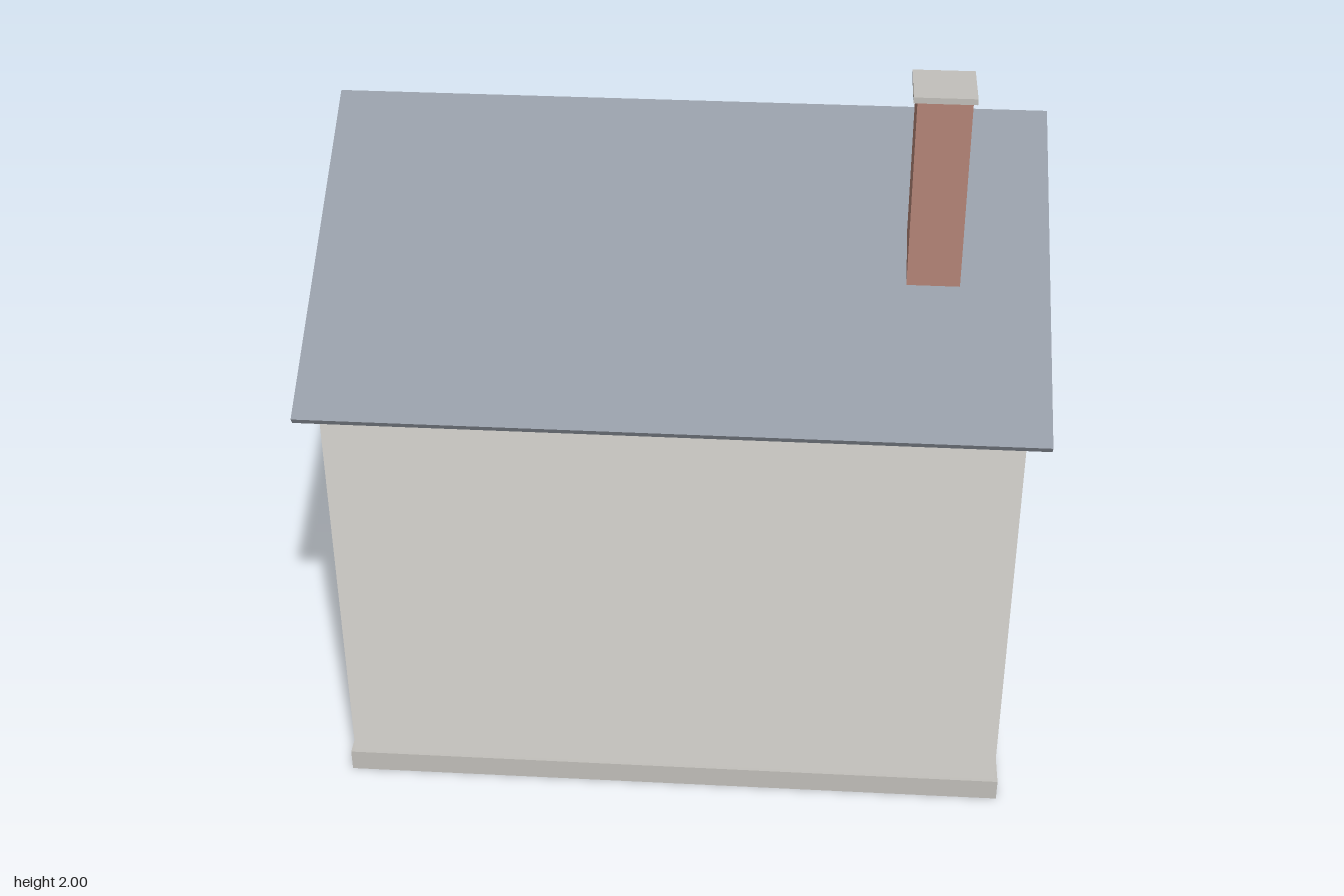
import * as THREE from 'three';

const mat = (color) => new THREE.MeshStandardMaterial({ color });
const M = {
  wall: mat(0xdad8d3), stone: mat(0xc2c0bb), roof: mat(0x949ba5), brick: mat(0xb58578),
  glass: mat(0x9fb8c5), frame: mat(0xc4c4c0), shutter: mat(0x61788f), door: mat(0x5f917b), knob: mat(0x55534e),
};
const MID = 0.035;   // z of the ridge line
const FACE = -0.765; // z of the wall with the door

export function createModel() {
  const house = new THREE.Group();
  house.name = 'house';

  // box from its min and max corners
  function box(name, material, [x0, y0, z0], [x1, y1, z1], parent = house) {
    const mesh = new THREE.Mesh(new THREE.BoxGeometry(x1 - x0, y1 - y0, z1 - z0), material);
    mesh.position.set((x0 + x1) / 2, (y0 + y1) / 2, (z0 + z1) / 2);
    mesh.name = name;
    parent.add(mesh);
    return mesh;
  }

  // gable profile swept along x
  function sweep(name, material, points, halfLength) {
    const shape = new THREE.Shape(points.map(([x, y]) => new THREE.Vector2(x, y)));
    const geo = new THREE.ExtrudeGeometry(shape, { depth: halfLength * 2, bevelEnabled: false });
    geo.translate(0, 0, -halfLength).rotateY(Math.PI / 2);
    const mesh = new THREE.Mesh(geo, material);
    mesh.position.z = MID;
    mesh.name = name;
    house.add(mesh);
  }

  // slab fixed to the door wall, centred on (x, y), standing out by depth
  const onFace = (name, material, x, y, w, h, depth, parent) =>
    box(name, material, [x - w / 2, y - h / 2, FACE - depth], [x + w / 2, y + h / 2, FACE + 0.005], parent);

  // base, walls and roof
  box('foundation', M.stone, [-0.91, 0, -0.775], [0.91, 0.063, 0.845]);
  box('doorStep', M.stone, [-0.158, 0, -0.885], [0.158, 0.063, -0.77]);
  sweep('walls', M.wall, [[-0.8, 0.06], [0.8, 0.06], [0.8, 1.223], [0, 1.705], [-0.8, 1.223]], 0.9);
  sweep('roof', M.roof,
    [[0.85, 1.228], [0, 1.74], [-0.85, 1.228], [-0.839, 1.21], [0, 1.715], [0.839, 1.21]], 0.96);

  // chimney
  box('chimney', M.brick, [0.59, 1.38, 0.362], [0.728, 1.986, 0.502]);
  box('chimneyCap', M.stone, [0.58, 1.984, 0.352], [0.738, 2, 0.512]);

  // window with frame and 2 x 2 panes
  function paneWindow(name, x, y, w, h) {
    const group = new THREE.Group();
    group.name = name;
    house.add(group);
    const t = 0.012;
    onFace('glass', M.glass, x, y, w, h, 0.005, group);
    for (const s of [-1, 0, 1]) {
      onFace('verticalBar', M.frame, x + s * (w - t) / 2, y, t, h, 0.011, group);
      onFace('horizontalBar', M.frame, x, y + s * (h - t) / 2, w, t, 0.01, group);
    }
    return group;
  }

  for (const y of [0.385, 0.965]) {
    for (const side of [-1, 1]) {
      const x = side * 0.6;
      const group = paneWindow('shutteredWindow', x, y, 0.23, 0.26);
      for (const s of [-1, 1]) {
        onFace('shutter', M.shutter, x + s * 0.15, y, 0.073, 0.26, 0.014, group);
        onFace('shutterPanel', M.shutter, x + s * 0.15, y, 0.053, 0.235, 0.019, group);
      }
    }
  }
  paneWindow('landingWindow', 0, 0.965, 0.19, 0.21);

  // door with its frame and knob
  onFace('door', M.door, 0, 0.27, 0.2, 0.415, 0.008);
  for (const s of [-1, 1]) onFace('doorPost', M.frame, s * 0.108, 0.283, 0.02, 0.44, 0.014);
  onFace('doorLintel', M.frame, 0, 0.49, 0.236, 0.025, 0.014);
  const knob = new THREE.Mesh(new THREE.SphereGeometry(0.009, 12, 8), M.knob);
  knob.position.set(0.075, 0.26, FACE - 0.012);
  knob.name = 'doorKnob';
  house.add(knob);

  // gable-end windows
  for (const s of [-1, 1]) {
    const pane = box('sideWindow', M.glass, [0.895, 0.275, 0.035], [0.907, 0.495, 0.235]);
    pane.position.x *= s;
  }
  return house;
}
